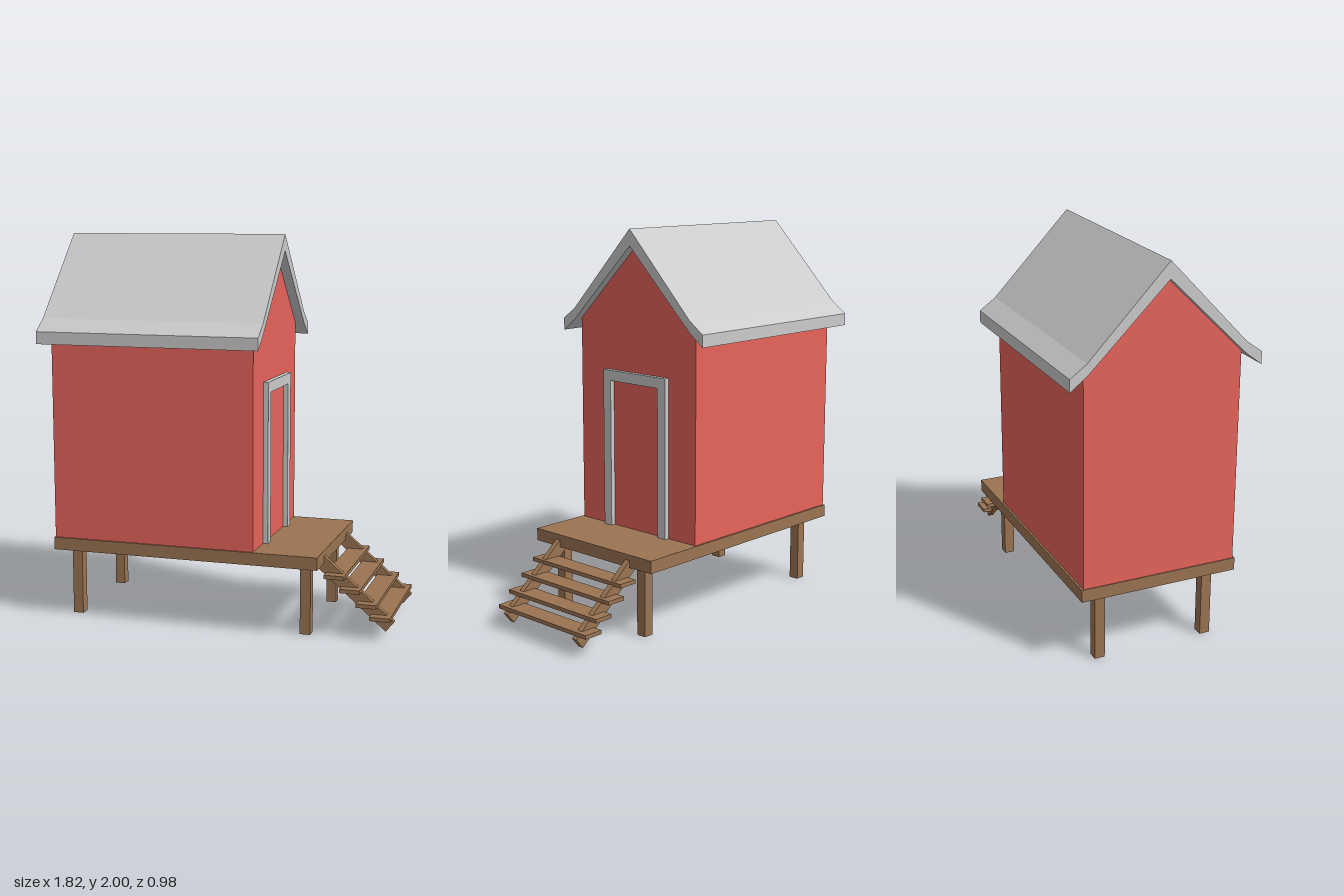
import * as THREE from 'three';

const paint = (color) => new THREE.MeshStandardMaterial({ color, flatShading: true });

export function createModel() {
  const hut = new THREE.Group();
  hut.name = 'stiltHut';
  const red = paint(0xe7645b), wood = paint(0x9b7452), grey = paint(0xcccccc);

  const add = (name, geometry, material) => {
    const mesh = new THREE.Mesh(geometry, material);
    mesh.name = name;
    hut.add(mesh);
    return mesh;
  };
  // Box given by its limits on each axis
  const box = (name, material, [x0, x1], [y0, y1], [z0, z1]) =>
    add(name, new THREE.BoxGeometry(x1 - x0, y1 - y0, z1 - z0), material)
      .position.set((x0 + x1) / 2, (y0 + y1) / 2, (z0 + z1) / 2);
  const extrude = (points, depth) => new THREE.ExtrudeGeometry(
    new THREE.Shape(points.map(([a, b]) => new THREE.Vector2(a, b))),
    { depth, bevelEnabled: false });
  // Symmetric end profile swept along x
  const alongX = (points, x0, x1) =>
    extrude(points, x1 - x0).rotateY(Math.PI / 2).translate(x0, 0, 0);

  // Walls with gable ends
  add('walls', alongX([[-0.405, 0.43], [0.405, 0.43], [0.405, 1.515], [0, 1.915], [-0.405, 1.515]],
    -0.865, 0.212), red);

  // Roof with flared eaves
  add('roof', alongX([
    [-0.49, 1.45], [-0.405, 1.515], [0, 1.915], [0.405, 1.515], [0.49, 1.45],
    [0.49, 1.513], [0.405, 1.575], [0, 2], [-0.405, 1.575], [-0.49, 1.513],
  ], -0.91, 0.261), grey);

  // Door frame
  add('doorFrame', alongX([
    [-0.22, 0.43], [-0.167, 0.43], [-0.167, 1.21], [0.167, 1.21], [0.167, 0.43],
    [0.22, 0.43], [0.22, 1.265], [-0.22, 1.265],
  ], 0.208, 0.237), grey);

  // Deck on four legs
  box('deck', wood, [-0.87, 0.545], [0.365, 0.43], [-0.415, 0.415]);
  for (const x of [-0.782, 0.462])
    for (const z of [-0.293, 0.293])
      box('leg', wood, [x - 0.027, x + 0.027], [0, 0.37], [z - 0.027, z + 0.027]);

  // Stairs: two sloping stringers and four treads
  const slope = [[0.489, 0.361], [0.865, 0.038], [0.907, 0.09], [0.531, 0.413]];
  for (const z of [-0.253, 0.253])
    add('stairStringer', extrude(slope, 0.03).translate(0, 0, z - 0.015), wood);
  for (const [x, y] of [[0.66, 0.318], [0.74, 0.252], [0.825, 0.184], [0.895, 0.122]])
    box('stairTread', wood, [x - 0.104, x], [y - 0.02, y], [-0.32, 0.32]);

  return hut;
}
